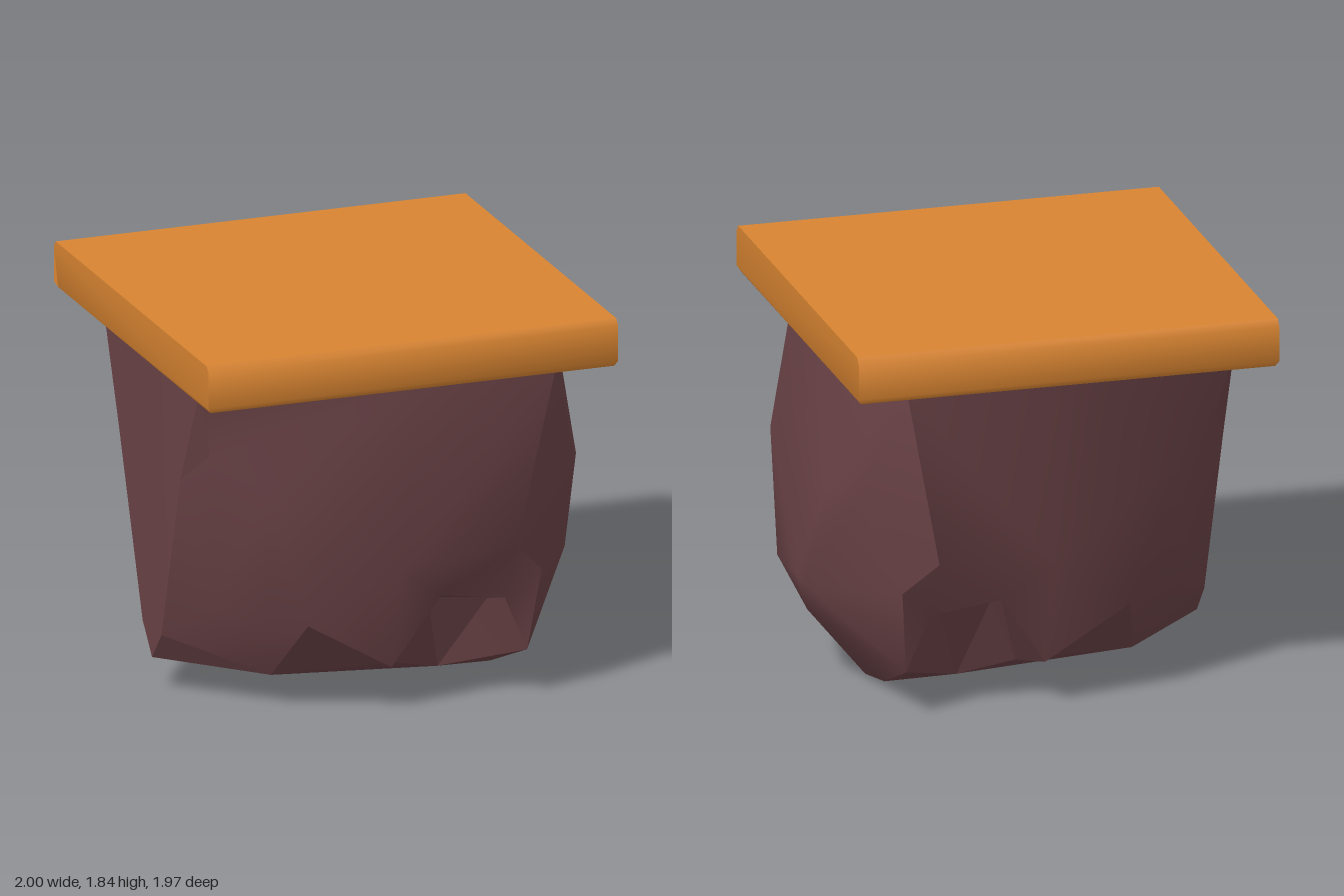
import * as THREE from 'three';
import { mergeGeometries, toCreasedNormals } from 'three/addons/utils/BufferGeometryUtils.js';

// Corners of one half of the rock (z >= 0); the other half is mirrored.
const corners = {
  // top outline, under the slab
  A: [0.9, 1.63, 0], a: [0.91, 1.63, 0.32], b: [0.71, 1.63, 0.88], c: [0, 1.63, 0.9],
  d: [-0.9, 1.63, 0.62], z: [-0.93, 1.63, 0],
  // bulging +x side
  E: [0.95, 1.15, 0], e: [0.96, 1.05, 0.46], G: [0.87, 1.08, 0.66], k: [1, 0.53, 0.21],
  l: [0.97, 0.5, 0], m: [0.92, 0.33, 0], j: [0.65, 0, 0], J: [0.63, 0.04, 0.24],
  // edge between the +x side and the broad face
  f: [0.54, 0.77, 0.82], g: [0.69, 0.62, 0.74], h: [0.65, 0.22, 0.66],
  // broad face
  M: [0, 0.72, 0.81], Q: [-0.6, 1.1, 0.68], R: [-0.54, 0.42, 0.56], P: [-0.75, 0.5, 0.42],
  // chipped lower edge
  n: [0.22, 0.54, 0.71], o: [0.54, 0.48, 0.67], p: [0.22, 0.48, 0.54], q: [0.48, 0.47, 0.61],
  r: [0, 0.21, 0.66], s: [0.08, 0.16, 0.45], i: [0.33, 0.09, 0.37],
  t: [-0.4, 0.45, 0.66], u: [-0.48, 0.15, 0.4],
  // narrow -x side
  v: [-0.83, 1.27, 0.55], w: [-0.91, 1.12, 0.39], x: [-0.9, 0.3, 0.12], y: [-0.9, 0.16, 0],
};

// Faces as fans of corners, counter-clockwise from outside.
// Edges inside a region are smooth up to its crease angle; region borders stay sharp.
const regions = [
  { crease: 0.7, faces: 'Mfbc cdvQM QRtM vwPQ QPR wxP PxuR Rut Mtrn nofM fog goh' },   // broad face
  { crease: 1, faces: 'Jjmh mkh mlk kGgh Gfg Gbf eGk ebG eab lEek EAae' },             // +x side
  { crease: 0.2, faces: 'zyxwd dwv' },                                                 // -x side
  { crease: 0.2, faces: 'npqo nrsp psiq qiho tusr' },                                  // chips
  { crease: 0.2, faces: 'xyu uyjJis Jhi' },                                            // underside
];

function regionGeometry({ crease, faces }) {
  const pos = [];
  const addTriangle = (names, side) => {
    for (const name of names) {
      const [x, y, z] = corners[name];
      pos.push(x, y, z * side);
    }
  };
  for (const face of faces.split(' ')) {
    for (let n = 1; n < face.length - 1; n++) {
      addTriangle([face[0], face[n], face[n + 1]], 1);
      addTriangle([face[0], face[n + 1], face[n]], -1);
    }
  }
  const geo = new THREE.BufferGeometry();
  geo.setAttribute('position', new THREE.Float32BufferAttribute(pos, 3));
  return toCreasedNormals(geo, crease);
}

// Slab with bevelled long edges, extruded along x.
function slabGeometry() {
  const half = [[0.97, 1.62], [0.985, 1.645], [0.985, 1.81], [0.96, 1.84]];
  const outline = [...half, ...half.map(([z, y]) => [-z, y]).reverse()];
  const shape = new THREE.Shape(outline.map(([z, y]) => new THREE.Vector2(z, y)));
  const geo = new THREE.ExtrudeGeometry(shape, { depth: 1.965, bevelEnabled: false });
  geo.translate(0, 0, -0.9825).rotateY(Math.PI / 2).translate(-0.0175, 0, 0);
  // ends draw in slightly along the bottom
  const p = geo.attributes.position;
  for (let n = 0; n < p.count; n++) {
    if (p.getY(n) < 1.63) p.setX(n, p.getX(n) - Math.sign(p.getX(n)) * 0.015);
  }
  return toCreasedNormals(geo, 0.78);
}

export function createModel() {
  const rockMaterial = new THREE.MeshStandardMaterial({ color: 0x6b4347 });
  rockMaterial.name = 'brown rock';
  const slabMaterial = new THREE.MeshStandardMaterial({ color: 0xd88431 });
  slabMaterial.name = 'orange earth';

  const rock = new THREE.Mesh(mergeGeometries(regions.map(regionGeometry)), rockMaterial);
  rock.name = 'rockBase';
  const slab = new THREE.Mesh(slabGeometry(), slabMaterial);
  slab.name = 'topSlab';

  const model = new THREE.Group();
  model.name = 'cliffBlock';
  model.add(rock, slab);
  return model;
}
